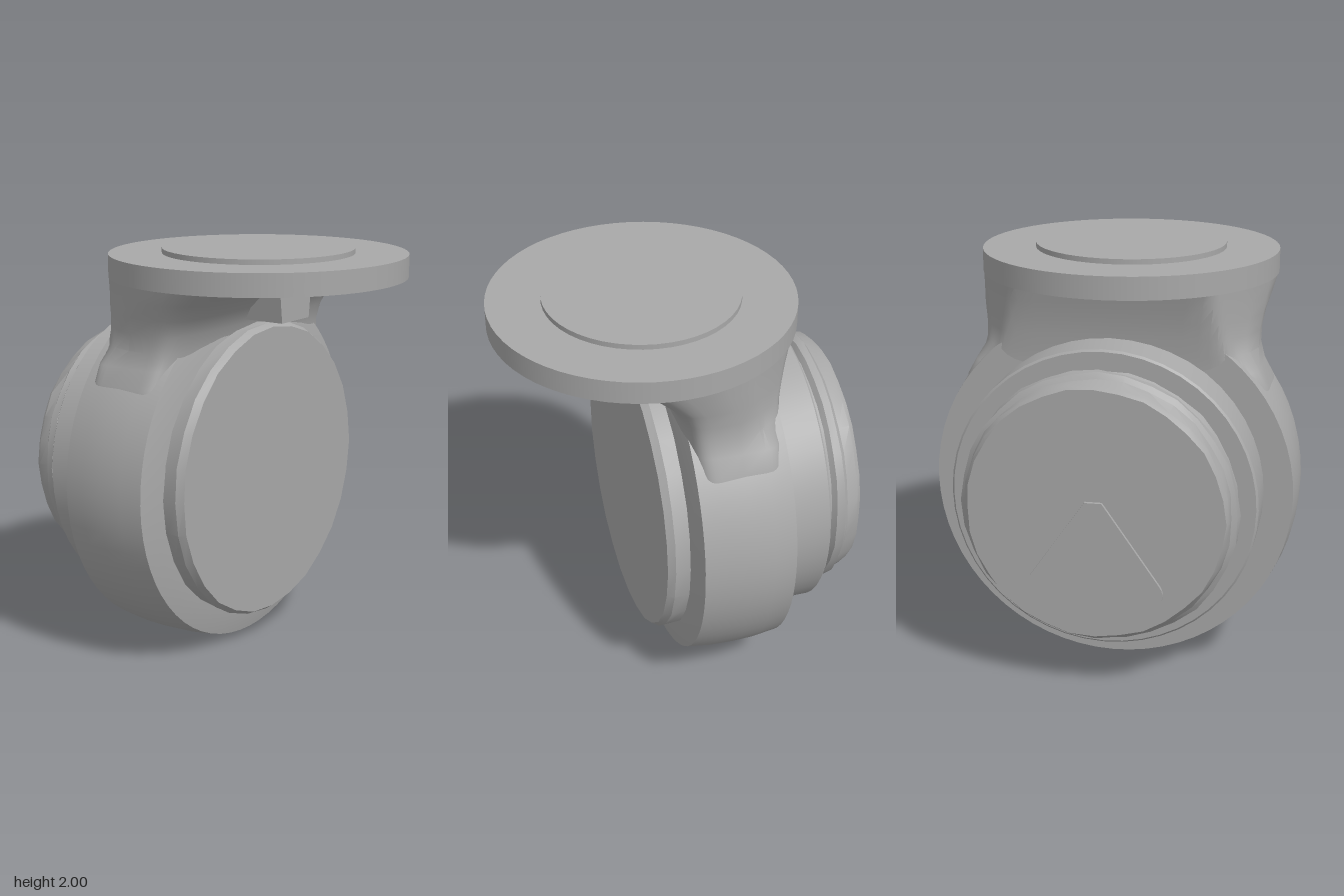
import * as THREE from 'three';
import { toCreasedNormals } from 'three/addons/utils/BufferGeometryUtils.js';

const AXIS_Y = 0.89;    // height of the horizontal joint axis
const FLANGE_Z = 0.11;  // centre of the mounting flange

export function createModel() {
  const group = new THREE.Group();
  const metal = new THREE.MeshStandardMaterial({ color: 0xa8a8a8 });
  metal.name = 'grey metal';

  const add = (name, geometry, x = 0, y = 0, z = 0) => {
    const mesh = new THREE.Mesh(geometry, metal);
    mesh.name = name;
    mesh.position.set(x, y, z);
    group.add(mesh);
    return mesh;
  };

  // Turned part around the joint axis; profile of [radius, z] from back to front
  const turned = (name, profile, segments, wobble = 0) => {
    const points = profile.map(([r, z]) => new THREE.Vector2(r, z));
    const geo = new THREE.LatheGeometry(points, segments).rotateX(Math.PI / 2);
    // Slightly uneven rim, leaving the flat centre alone
    const p = geo.attributes.position;
    for (let i = 0; wobble && i < p.count; i++) {
      const r = Math.hypot(p.getX(i), p.getY(i));
      if (r < 0.1) continue;
      const a = Math.atan2(p.getY(i), p.getX(i));
      const k = 1 + wobble * Math.sin(a * 7 + p.getZ(i) * 40) * Math.cos(a * 4);
      p.setXY(i, p.getX(i) * k, p.getY(i) * k);
    }
    return add(name, toCreasedNormals(geo, 0.5), 0, AXIS_Y, 0);
  };

  // Barrel-shaped joint housing
  turned('housing', [
    [0, -0.39], [0.875, -0.39], [0.888, -0.28], [0.89, -0.17],
    [0.885, -0.05], [0.87, 0.06], [0.75, 0.09], [0, 0.09],
  ], 64);

  // Front cover
  turned('frontCover', [
    [0.735, 0.05], [0.738, 0.1], [0.745, 0.165], [0.725, 0.2], [0, 0.2],
  ], 28, 0.006);

  // Rear hub and its stepped cover
  turned('rearHub', [[0, -0.62], [0.725, -0.62], [0.735, -0.61], [0.735, -0.37]], 48)
    .position.y = 0.9;
  turned('rearCover', [
    [0, -0.822], [0.605, -0.822], [0.62, -0.8], [0.632, -0.745], [0.655, -0.725],
    [0.655, -0.685], [0.63, -0.665], [0.645, -0.61],
  ], 32, 0.012).position.y = 0.9;

  // Rounded triangular plate on the rear cover
  const plate = new THREE.Shape();
  plate.moveTo(-0.04, 0.97);
  plate.lineTo(-0.31, 0.58);
  plate.quadraticCurveTo(-0.345, 0.53, -0.3, 0.47);
  plate.quadraticCurveTo(-0.22, 0.37, -0.12, 0.35);
  plate.quadraticCurveTo(0, 0.33, 0.12, 0.35);
  plate.quadraticCurveTo(0.22, 0.37, 0.3, 0.47);
  plate.quadraticCurveTo(0.345, 0.53, 0.31, 0.58);
  plate.lineTo(0.04, 0.97);
  plate.closePath();
  add('rearPlate', new THREE.ExtrudeGeometry(plate, { depth: 0.025, bevelEnabled: false, curveSegments: 6 }), 0, 0, -0.839);

  // Mounting flange with raised disc
  add('flange', new THREE.CylinderGeometry(0.73, 0.73, 0.11, 64), 0, 1.92, FLANGE_Z);
  add('flangeDisc', new THREE.CylinderGeometry(0.47, 0.47, 0.03, 48), 0, 1.985, FLANGE_Z);

  // Flared neck lofted from rounded sections: [y, half width, front z, back z, limit radius]
  const levels = [
    [1.3, 0.75, 0.06, -0.388, 1.1], [1.4, 0.735, 0.06, -0.388, 0.95],
    [1.48, 0.69, 0.065, -0.39, 0.82], [1.56, 0.668, 0.08, -0.4, 0.74],
    [1.64, 0.67, 0.105, -0.41, 0.725], [1.72, 0.685, 0.15, -0.425, 0.725],
    [1.8, 0.71, 0.235, -0.445, 0.725], [1.87, 0.728, 0.315, -0.465, 0.728],
  ];
  const n = 64, verts = [], faces = [];
  const power = (v) => Math.sign(v) * Math.abs(v) ** 0.3;
  levels.forEach(([y, half, front, back, limit], row) => {
    for (let i = 0; i < n; i++) {
      const a = (i / n) * Math.PI * 2;
      let x = half * power(Math.cos(a));
      let z = (front + back) / 2 + ((front - back) / 2) * power(Math.sin(a));
      // Keep each section within a circle under the flange
      const k = Math.min(1, limit / Math.hypot(x, z - FLANGE_Z));
      x *= k;
      z = FLANGE_Z + (z - FLANGE_Z) * k;
      verts.push(x, y, z);
      if (row === 0) continue;
      const j = (i + 1) % n, lo = (row - 1) * n, hi = row * n;
      faces.push(lo + i, hi + i, lo + j, lo + j, hi + i, hi + j);
    }
  });
  const neck = new THREE.BufferGeometry();
  neck.setAttribute('position', new THREE.Float32BufferAttribute(verts, 3));
  neck.setIndex(faces);
  add('neck', toCreasedNormals(neck, 0.6));

  // Tapered tab below the front of the flange
  const tab = new THREE.Shape([
    new THREE.Vector2(-0.14, 1.87), new THREE.Vector2(-0.115, 1.66),
    new THREE.Vector2(0.115, 1.66), new THREE.Vector2(0.14, 1.87),
  ]);
  add('frontTab', new THREE.ExtrudeGeometry(tab, { depth: 0.3, bevelEnabled: false }), 0, 0, 0.03);

  return group;
}
